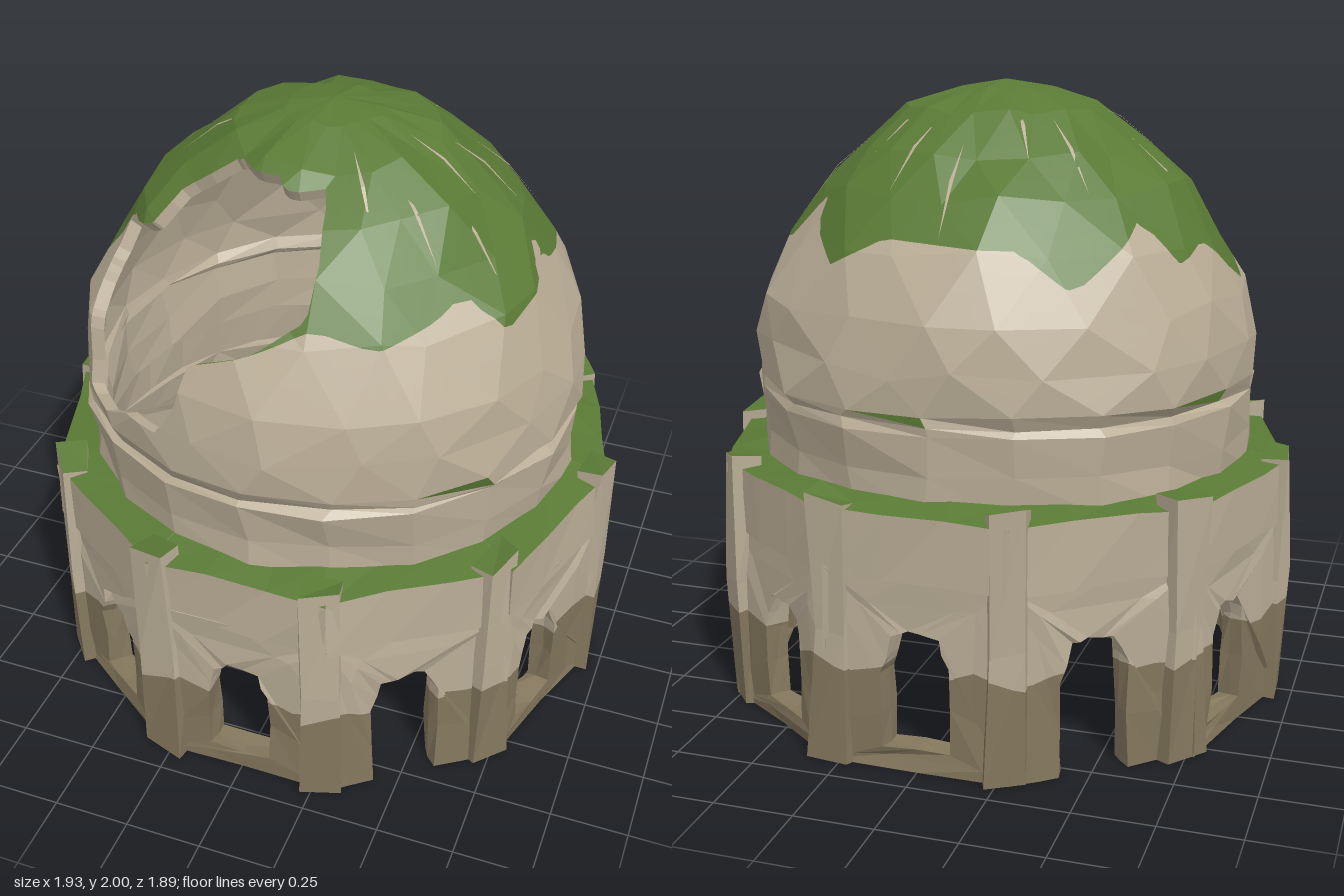
import * as THREE from 'three';

const mats = {};
for (const [name, color] of [['stone', 0xbaad96], ['dirtyStone', 0x84775d], ['moss', 0x5a7a35]]) {
  mats[name] = new THREE.MeshStandardMaterial({ color, flatShading: true });
  mats[name].name = name;
}

const V = (x, y, z) => new THREE.Vector3(x, y, z);
const polar = (r, a, y) => V(r * Math.sin(a), y, r * Math.cos(a));
const deg = Math.PI / 180;

// Repeatable noise from a position, so shared corners move together
function noise(v, k) {
  const s = Math.sin(Math.round(v.x * 200) * 12.71 + Math.round(v.y * 200) * 31.17 + Math.round(v.z * 200) * 7.47 + k * 53.3) * 43758.5;
  return (s - Math.floor(s)) * 2 - 1;
}
function roughen(v, amount) {
  const y = v.y < 0.001 ? 0 : v.y + noise(v, 2) * amount;
  return V(v.x + noise(v, 1) * amount, y, v.z + noise(v, 3) * amount);
}

// Triangle list helpers
function toTris(geo) {
  const p = (geo.index ? geo.toNonIndexed() : geo).attributes.position;
  const tris = [];
  for (let i = 0; i < p.count; i += 3) tris.push([0, 1, 2].map(k => new THREE.Vector3().fromBufferAttribute(p, i + k)));
  return tris;
}
function subdivide(tris) {
  return tris.flatMap(([a, b, c]) => {
    const ab = a.clone().lerp(b, 0.5), bc = b.clone().lerp(c, 0.5), ca = c.clone().lerp(a, 0.5);
    return [[a, ab, ca], [ab, b, bc], [ca, bc, c], [ab, bc, ca]];
  });
}
// Cuts triangles along f = 0 and also returns the cut edges of the lower side
function split(tris, f) {
  const out = { below: [], above: [], cuts: [] };
  for (const t of tris) {
    const d = t.map(f), low = [], high = [];
    let leave, enter;
    t.forEach((v, i) => {
      const j = (i + 1) % 3;
      (d[i] < 0 ? low : high).push(v);
      if ((d[i] < 0) !== (d[j] < 0)) {
        const p = v.clone().lerp(t[j], d[i] / (d[i] - d[j]));
        low.push(p); high.push(p);
        if (d[i] < 0) leave = p; else enter = p;
      }
    });
    for (const [poly, list] of [[low, out.below], [high, out.above]])
      for (let i = 2; i < poly.length; i++) list.push([poly[0], poly[i - 1], poly[i]]);
    if (leave) out.cuts.push([leave, enter]);
  }
  return out;
}
function addMesh(group, name, tris, material) {
  if (!tris.length) return;
  const geo = new THREE.BufferGeometry().setFromPoints(tris.flat());
  geo.computeVertexNormals();
  const mesh = new THREE.Mesh(geo, mats[material]);
  mesh.name = name;
  group.add(mesh);
}
// Dirt near the ground, moss on high level tops, plain stone elsewhere
function addWeathered(parent, name, tris) {
  const group = new THREE.Group();
  group.name = name;
  const tops = [], rest = [], n = V();
  for (const t of tris) {
    new THREE.Triangle(...t).getNormal(n);
    (n.y > 0.7 && t[0].y > 0.7 ? tops : rest).push(t);
  }
  const s = split(rest, v => v.y - 0.32 - 0.02 * Math.sin(Math.atan2(v.x, v.z) * 23));
  addMesh(group, name + 'Stone', s.above, 'stone');
  addMesh(group, name + 'Dirt', s.below, 'dirtyStone');
  addMesh(group, name + 'Moss', tops, 'moss');
  parent.add(group);
}

// Wall panel with an arched window, or a doorway reaching the ground
function panelGeometry(door, shift) {
  const arch = [[-0.11, 0.3], [-0.075, 0.42], [-0.03, 0.445], [0.065, 0.43], [0.105, 0.35]].map(([x, y]) => [x + shift, y]);
  const l = shift - 0.11, r = shift + 0.105, w = 0.294, p = ([x, y]) => new THREE.Vector2(x, y);
  const foot = door ? [[-w, 0], [l, 0], ...arch, [r, 0]] : [[-w, 0]];
  const shape = new THREE.Shape([...foot, [w, 0], [w, 0.62], [-w, 0.62]].map(p));
  if (!door) shape.holes.push(new THREE.Path([[l, 0.07], ...arch, [r, 0.07]].map(p)));
  return new THREE.ExtrudeGeometry(shape, { depth: 0.1, bevelEnabled: false }).translate(0, 0, 0.8);
}
// Bends the inner side of a block to a round wall, narrowing at the top
function roundInside(geo) {
  const p = geo.attributes.position;
  for (let i = 0; i < p.count; i++) if (p.getZ(i) < 0.85) {
    const r = p.getY(i) > 0.75 ? 0.795 : 0.825, x = p.getX(i) / 0.294 * r * Math.sin(18 * deg);
    p.setX(i, x).setZ(i, Math.sqrt(r * r - x * x));
  }
  return geo;
}

function addDrum(root) {
  const place = (geo, a, amount, fine) => {
    let t = toTris(geo.rotateY(a));
    if (fine) t = subdivide(t);
    return t.map(tri => tri.map(v => roughen(v, amount)));
  };
  const windowShift = [0, -0.03, -0.08, 0.08, 0.03];
  const postAngle = [17, 52, 90, 128, 163];
  for (let k = 0; k < 10; k++) {
    const a = k * 36 * deg, m = k % 5;
    addWeathered(root, 'archPanel', place(roundInside(panelGeometry(m === 1, windowShift[m])), a, 0.009, true));

    // Upper band with a mossy ledge rising inward
    const band = new THREE.BoxGeometry(0.588, 0.205, 0.11, 3, 1, 1).translate(0, 0.7, 0.853);
    const bp = band.attributes.position;
    for (let i = 0; i < bp.count; i++) if (bp.getY(i) > 0.75 && bp.getZ(i) < 0.85) bp.setY(i, 0.825);
    addWeathered(root, 'ledgeBand', place(roundInside(band), a, 0.009));

    // Buttress at the corner, wider at the foot, with a broken top
    const post = new THREE.BoxGeometry(0.125, 0.83, 0.085, 1, 2, 1).translate(0, 0.415, 0.912);
    const pp = post.attributes.position;
    for (let i = 0; i < pp.count; i++) {
      if (pp.getY(i) < 0.1) pp.setX(i, pp.getX(i) * 1.15);
      if (pp.getY(i) > 0.8 && pp.getX(i) * (k % 2 ? 1 : -1) > 0) pp.setY(i, 0.85);
    }
    addWeathered(root, 'buttress', place(post, (postAngle[m] + (k > 4 ? 180 : 0)) * deg, 0.016));
  }
}

// Dome outline: radius, height
const profile = [[0.82, 0.78], [0.815, 0.9], [0.83, 1.03], [0.818, 1.05], [0.83, 1.085], [0.82, 1.2], [0.795, 1.35],
  [0.705, 1.53], [0.595, 1.68], [0.475, 1.8], [0.32, 1.91], [0.15, 1.975], [0, 2]];
// Broken opening, seen from the front
const opening = [[-0.65, 1.1], [-0.52, 1.13], [-0.42, 1.19], [-0.3, 1.18], [-0.23, 1.3], [-0.2, 1.43], [0, 1.5], [0.14, 1.6],
  [0.145, 1.72], [0.1, 1.865], [-0.02, 1.87], [-0.04, 1.895], [-0.2, 1.89], [-0.38, 1.77], [-0.45, 1.68], [-0.58, 1.63], [-0.64, 1.45]];
// Lower edge of the moss: angle from the front, height
const mossEdge = [[0, 1.5], [14, 1.58], [29, 1.53], [46, 1.57], [56, 1.62], [63, 1.5], [84, 1.55], [90, 1.65], [94, 1.54], [117, 1.5],
  [129, 1.66], [138, 1.55], [151, 1.48], [165, 1.57], [200, 1.55], [212, 1.43], [236, 1.62], [243, 1.48], [256, 1.53], [270, 1.42],
  [282, 1.36], [287, 1.49], [293, 1.62], [310, 1.65], [318, 1.5], [345, 1.43], [360, 1.5]];

function inOpening(v) {
  if (v.z < 0) return -1;
  let inside = false, best = 9;
  opening.forEach(([x1, y1], i) => {
    const [x2, y2] = opening[(i + 1) % opening.length], dx = x2 - x1, dy = y2 - y1;
    const t = THREE.MathUtils.clamp(((v.x - x1) * dx + (v.y - y1) * dy) / (dx * dx + dy * dy), 0, 1);
    best = Math.min(best, Math.hypot(v.x - x1 - t * dx, v.y - y1 - t * dy));
    if ((y1 > v.y) !== (y2 > v.y) && v.x < x1 + (v.y - y1) / dy * dx) inside = !inside;
  });
  return inside ? best : -best;
}
function aboveMoss(v) {
  const a = (Math.atan2(v.x, v.z) / deg + 360) % 360;
  const i = Math.max(1, mossEdge.findIndex(e => e[0] >= a));
  const [a0, y0] = mossEdge[i - 1], [a1, y1] = mossEdge[i];
  return v.y - THREE.MathUtils.mapLinear(a, a0, a1, y0, y1);
}

function addDome(root) {
  const N = 20, group = new THREE.Group();
  group.name = 'dome';
  const rings = profile.map(([r, y], j) => Array.from({ length: N }, (_, i) => {
    const a = (i + (j > 4 && j % 2 ? 0.5 : 0)) * 18 * deg, s = polar(r + 0.01, a, y);
    if (r === 0) return V(0, 2, 0);
    const loose = j > 4 && j < 11 ? 1 : 0.35;
    return polar(r + noise(s, 1) * 0.012, a + noise(s, 2) * 0.07 * loose, y + noise(s, 3) * 0.022 * loose);
  }));
  let tris = [];
  const joint = [];
  for (let j = 0; j < profile.length - 1; j++) for (let i = 0; i < N; i++) {
    const n = (i + 1) % N, a = rings[j][i], b = rings[j][n], c = rings[j + 1][n], d = rings[j + 1][i];
    const shifted = j > 4 && j % 2;
    const cell = shifted ? [[a, b, c], [a, c, d]] : [[a, b, d], [b, c, d]];
    // Mossy slivers in the joint under the dome
    if (j === 3 && [2, 5, 9, 13, 16].includes(i)) joint.push(cell.pop());
    tris.push(...(j === profile.length - 2 ? [[a, b, d]] : cell));
  }
  tris = subdivide(subdivide(tris));
  const shell = split(tris, inOpening);
  const skin = split(shell.below, aboveMoss);
  addMesh(group, 'domeStone', skin.below, 'stone');
  addMesh(group, 'domeMoss', skin.above, 'moss');
  addMesh(group, 'jointMoss', joint, 'moss');

  // Inner face, broken rim and underside
  const inner = v => V(v.x * 0.95, 0.78 + (v.y - 0.78) * 0.965, v.z * 0.95);
  const lining = [...shell.below, ...joint].map(([a, b, c]) => [inner(a), inner(c), inner(b)]);
  const edge = ([p, q]) => [[q, p, inner(p)], [q, inner(p), inner(q)]];
  addMesh(group, 'domeLining', lining, 'stone');
  addMesh(group, 'brokenRim', shell.cuts.flatMap(edge), 'stone');
  const foot = rings[0].map((p, i) => [p, rings[0][(i + 1) % N]]);
  addMesh(group, 'domeFoot', foot.flatMap(edge), 'stone');

  // Thin radial cracks showing stone through the moss
  const height = r => {
    const j = profile.findIndex((p, i) => i > 6 && p[0] <= r);
    return THREE.MathUtils.mapLinear(r, profile[j - 1][0], profile[j][0], profile[j - 1][1], profile[j][1]);
  };
  const cracks = [];
  [32, 50, 68, 80, 100, 118, 140, 160, 180, 205, 222, 262, 282].forEach((d, i) => {
    const r0 = 0.25 + 0.09 * (i % 3), r1 = r0 + 0.24, rm = (r0 + r1) / 2, a = d * deg;
    const at = (r, off, lift) => polar(r, a + off / r, height(r) + lift);
    const left = at(rm, -0.006, 0.008), right = at(rm, 0.006, 0.008);
    cracks.push([at(r0, 0, 0), left, right], [left, at(r1, 0, 0), right]);
  });
  addMesh(group, 'cracks', cracks, 'stone');
  root.add(group);
}

export function createModel() {
  const root = new THREE.Group();
  root.name = 'ruinedDome';
  addDrum(root);
  addDome(root);
  return root;
}
